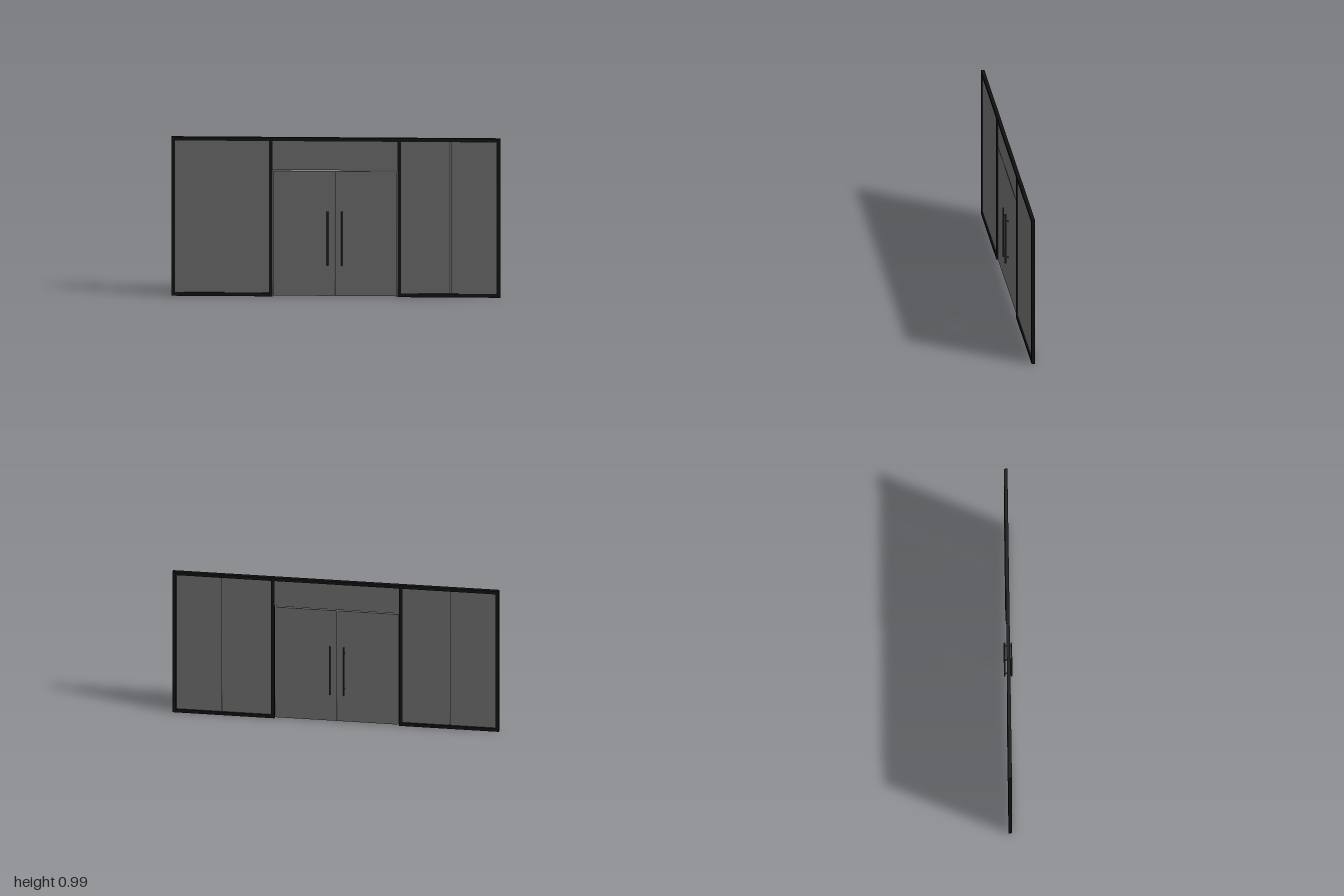
import * as THREE from 'three';

export function createModel() {
  const model = new THREE.Group();
  const frameMat = new THREE.MeshStandardMaterial({ color: 0x111111 });
  const glassMat = new THREE.MeshStandardMaterial({ color: 0x666666 });
  const handleMat = new THREE.MeshStandardMaterial({ color: 0x3a3836 });
  const H = 0.985, W = 0.022, D = 0.021, GLASS = 0.005;

  // Box given by its x and y limits, centred on z = 0
  function slab(name, x0, x1, y0, y1, depth, mat) {
    const mesh = new THREE.Mesh(new THREE.BoxGeometry(x1 - x0, y1 - y0, depth), mat);
    mesh.position.set((x0 + x1) / 2, (y0 + y1) / 2, 0);
    mesh.name = name;
    model.add(mesh);
  }

  // Frame: head rail, four posts, and sills under the fixed side panes only
  const mullionR = [-0.408, -0.387], mullionL = [0.375, 0.396];
  slab('headRail', -1, 1, H - W, H, D, frameMat);
  slab('rightPost', -1, -1 + W, 0, H - W, D, frameMat);
  slab('leftPost', 1 - W, 1, 0, H - W, D, frameMat);
  slab('rightMullion', ...mullionR, 0, H - W, D, frameMat);
  slab('leftMullion', ...mullionL, 0, H - W, D, frameMat);
  slab('rightSill', -1 + W, mullionR[0], 0, W, D, frameMat);
  slab('leftSill', mullionL[1], 1 - W, 0, W, D, frameMat);

  // Fixed side panes, two per bay with a narrow joint
  const top = H - W;
  slab('rightOuterPane', -1 + W, -0.697, W, top, GLASS, glassMat);
  slab('rightInnerPane', -0.695, mullionR[0], W, top, GLASS, glassMat);
  slab('leftInnerPane', mullionL[1], 0.695, W, top, GLASS, glassMat);
  slab('leftOuterPane', 0.699, 1 - W, W, top, GLASS, glassMat);

  // Transom pane above the pair of doors
  const centre = -0.007;
  slab('transomPane', mullionR[1], mullionL[0], 0.783, top, GLASS, glassMat);
  slab('rightDoor', mullionR[1] + 0.003, centre - 0.002, 0.004, 0.777, GLASS, glassMat);
  slab('leftDoor', centre + 0.002, mullionL[0] - 0.004, 0.004, 0.777, GLASS, glassMat);

  // Pull handles: a bar on each face joined by two standoffs through the glass
  const barGeo = new THREE.CylinderGeometry(0.005, 0.005, 0.335, 16);
  const standoffGeo = new THREE.CylinderGeometry(0.004, 0.004, 0.042, 12).rotateX(Math.PI / 2);
  for (const [name, x] of [['rightHandle', -0.051], ['leftHandle', 0.036]]) {
    const handle = new THREE.Group();
    handle.name = name;
    for (const z of [-0.021, 0.021]) {
      const bar = new THREE.Mesh(barGeo, handleMat);
      bar.name = z > 0 ? 'frontBar' : 'backBar';
      bar.position.set(0, 0.3625, z);
      handle.add(bar);
    }
    for (const y of [0.235, 0.483]) {
      const standoff = new THREE.Mesh(standoffGeo, handleMat);
      standoff.name = 'standoff';
      standoff.position.y = y;
      handle.add(standoff);
    }
    handle.position.x = x;
    model.add(handle);
  }
  return model;
}
